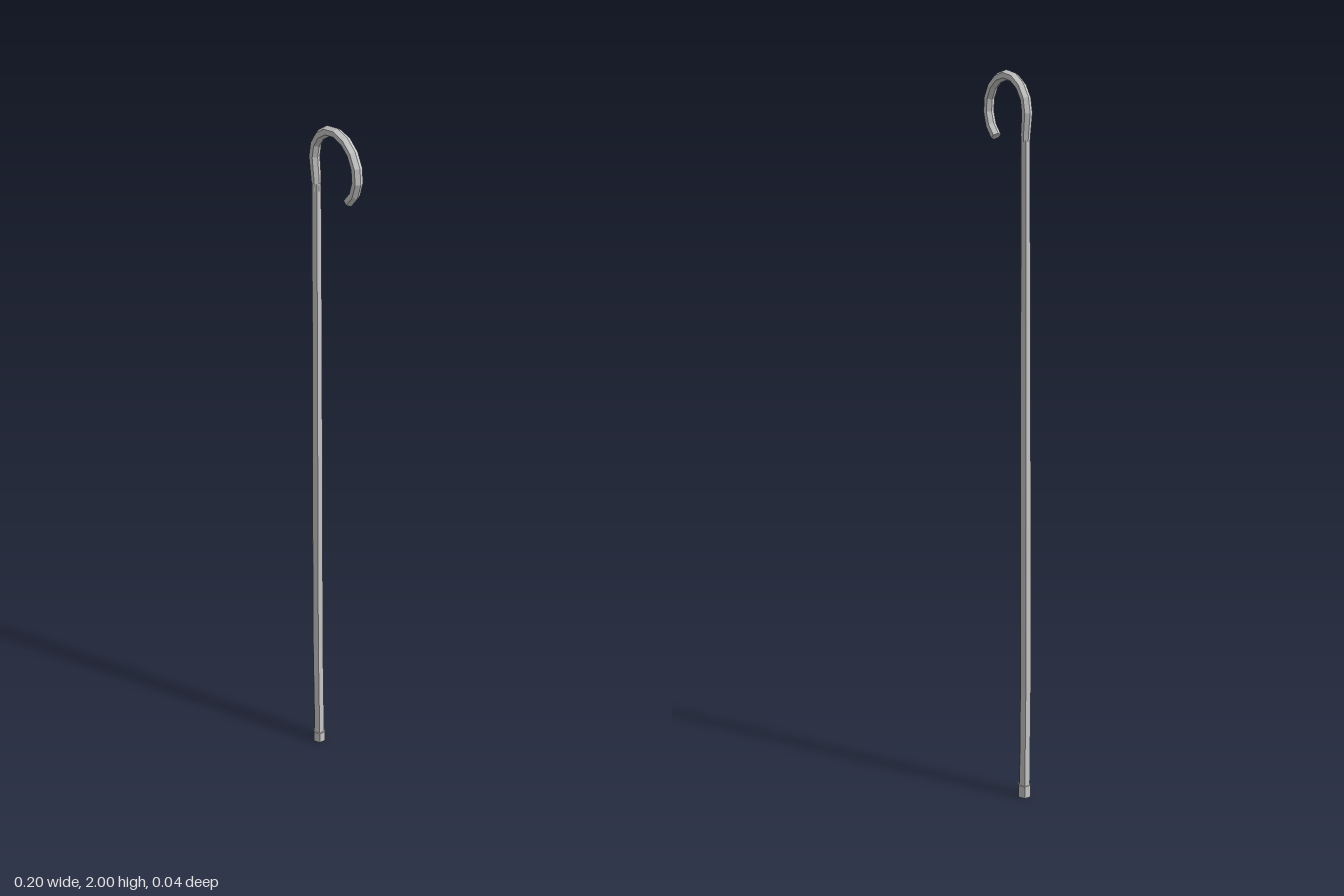
import * as THREE from 'three';

const SIDES = 6;

// Capped six-sided sweep along a path in the xy plane; path entries are [x, y, radius].
function sweep(name, path, phase) {
  const pos = [], idx = [];
  const n = path.length;
  path.forEach(([x, y, r], i) => {
    const a = path[Math.max(i - 1, 0)], b = path[Math.min(i + 1, n - 1)];
    const t = new THREE.Vector2(b[0] - a[0], b[1] - a[1]).normalize();
    for (let j = 0; j < SIDES; j++) {
      const ang = phase + (j / SIDES) * Math.PI * 2;
      const c = Math.cos(ang) * r;
      pos.push(x + t.y * c, y - t.x * c, Math.sin(ang) * r);
    }
  });
  for (let i = 0; i < n - 1; i++) {
    for (let j = 0; j < SIDES; j++) {
      const k = (j + 1) % SIDES, a = i * SIDES, b = a + SIDES;
      idx.push(a + j, b + j, a + k, a + k, b + j, b + k);
    }
  }
  // end caps
  const last = (n - 1) * SIDES;
  for (let j = 1; j < SIDES - 1; j++) {
    idx.push(0, j, j + 1);
    idx.push(last, last + j + 1, last + j);
  }
  const geo = new THREE.BufferGeometry();
  geo.setAttribute('position', new THREE.Float32BufferAttribute(pos, 3));
  geo.setIndex(idx);
  const flat = geo.toNonIndexed();
  flat.computeVertexNormals();
  const mesh = new THREE.Mesh(flat, new THREE.MeshStandardMaterial({ color: 0xcccccc, flatShading: true }));
  mesh.name = name;
  return mesh;
}

export function createModel() {
  const group = new THREE.Group();
  group.name = 'walkingCrook';

  // slightly bowed, tapering shaft with a ridge facing front and back
  group.add(sweep('shaft', [
    [-0.085, 0.01, 0.0165], [-0.089, 0.36, 0.0165], [-0.087, 0.8, 0.016],
    [-0.083, 1.35, 0.0145], [-0.081, 1.83, 0.013],
  ], Math.PI / 2));

  // ferrule at the foot
  group.add(sweep('ferrule', [[-0.085, 0, 0.019], [-0.085, 0.036, 0.0195]], Math.PI / 2));

  // curved handle with ridges on its outer and inner rim
  const hook = [[-0.08, 1.81, 0.011], [-0.082, 1.845, 0.0125]];
  const steps = 10, start = Math.PI, end = -0.92;
  for (let i = 0; i <= steps; i++) {
    const a = start + (end - start) * (i / steps);
    hook.push([0.088 * Math.cos(a), 1.898 + 0.088 * Math.sin(a), 0.0135]);
  }
  group.add(sweep('hookHandle', hook, 0));

  return group;
}
